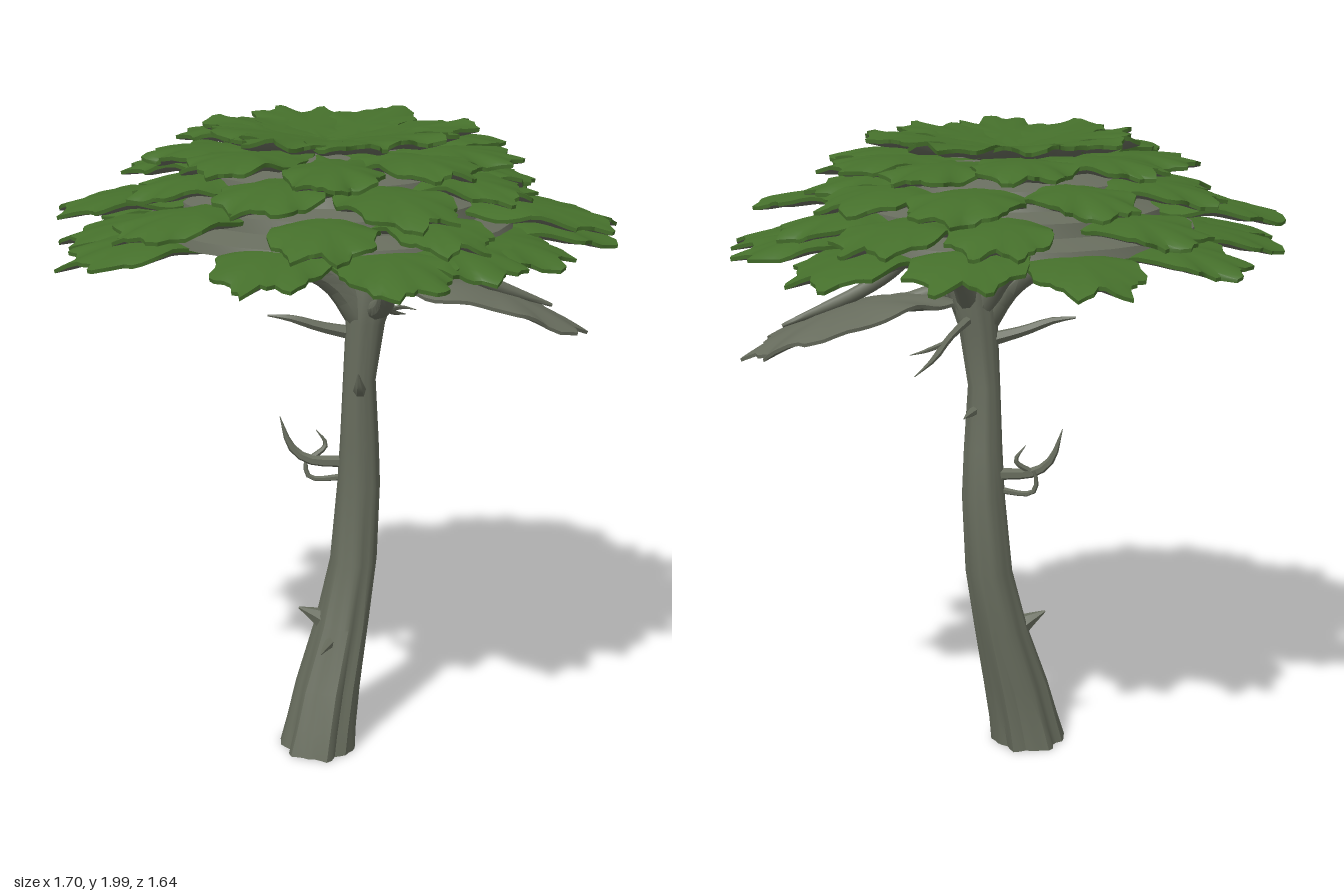
import * as THREE from 'three';
import { mergeGeometries, toCreasedNormals } from 'three/addons/utils/BufferGeometryUtils.js';

const bark = new THREE.MeshStandardMaterial({ color: 0x676c5d });
bark.name = 'bark';
const foliage = new THREE.MeshStandardMaterial({ color: 0x456f2b });
foliage.name = 'foliage green';

let seed = 7;
const rnd = () => (seed = (seed * 16807) % 2147483647) / 2147483647;
const V = (x, y, z) => new THREE.Vector3(x, y, z);

// Skin a list of closed rings (arrays of points with equal counts)
function loft(rings, capStart = false) {
  const n = rings[0].length, pos = [], idx = [];
  rings.forEach(r => r.forEach(p => pos.push(p.x, p.y, p.z)));
  for (let i = 0; i < rings.length - 1; i++)
    for (let j = 0; j < n; j++) {
      const a = i * n + j, b = i * n + (j + 1) % n;
      idx.push(a, b, a + n, b, b + n, a + n);
    }
  if (capStart) {
    const c = rings[0].reduce((s, p) => s.add(p), V(0, 0, 0)).divideScalar(n);
    pos.push(c.x, c.y, c.z);
    for (let j = 0; j < n; j++) idx.push(rings.length * n, (j + 1) % n, j);
  }
  const g = new THREE.BufferGeometry();
  g.setAttribute('position', new THREE.Float32BufferAttribute(pos, 3));
  g.setIndex(idx);
  return toCreasedNormals(g, 0.7);
}

// Tapered branch through points [x, y, z, radius]
function limb(pts, sides = 8, steps = 12) {
  const curve = new THREE.CatmullRomCurve3(pts.map(p => V(p[0], p[1], p[2])));
  const fr = curve.computeFrenetFrames(steps);
  const rings = [];
  for (let i = 0; i <= steps; i++) {
    const t = i / steps, f = t * (pts.length - 1), k = Math.min(Math.floor(f), pts.length - 2);
    const r = THREE.MathUtils.lerp(pts[k][3], pts[k + 1][3], f - k);
    const c = curve.getPointAt(t);
    const ring = [];
    for (let j = 0; j < sides; j++) {
      const a = j / sides * Math.PI * 2;
      ring.push(c.clone().addScaledVector(fr.normals[i], r * Math.cos(a))
        .addScaledVector(fr.binormals[i], r * Math.sin(a)));
    }
    rings.push(ring);
  }
  return loft(rings, true);
}

// Leaning trunk with horizontal, fluted rings: [y, x, z, radiusX, radiusZ]
function trunkGeometry() {
  const keys = [[0, -.06, .085, .115, .14], [.08, -.045, .08, .107, .128], [.2, -.02, .065, .1, .112],
    [.4, .03, .04, .083, .094], [.6, .07, .022, .073, .08], [.85, .087, .017, .067, .07],
    [1, .087, .024, .06, .062], [1.2, .083, .036, .05, .054], [1.38, .1, .04, .06, .057],
    [1.47, .115, .04, .076, .067], [1.56, .12, .035, .065, .06], [1.74, .13, .02, .035, .035]];
  const rings = keys.map(([y, x, z, rx, rz]) => {
    const ring = [], flute = .03 + .07 * Math.max(0, 1 - y / .7);
    for (let j = 0; j < 40; j++) {
      const a = j / 40 * Math.PI * 2;
      const f = 1 + flute * (Math.sin(7 * a + y * 2) * .7 + Math.sin(12 * a + 1 - y) * .5);
      ring.push(V(x + rx * f * Math.cos(a), y, z - rz * f * Math.sin(a)));
    }
    return ring;
  });
  return loft(rings, true);
}

// Jagged leaf pad pointing outward at an angle; height(l) gives its slope
function pad(deg, inner, outer, halfWidth, height, thick, crown) {
  const th = deg * Math.PI / 180, n = 56, ph = rnd() * 3, ph2 = rnd() * 3;
  const mid = (inner + outer) / 2, half = (outer - inner) / 2;
  const ring = (s, drop, dome) => {
    const pts = [];
    for (let j = 0; j < n; j++) {
      const a = j / n * Math.PI * 2, c = Math.cos(a);
      const tooth = .75 * Math.abs(Math.sin(4.5 * a + ph)) + .35 * Math.abs(Math.sin(11 * a + ph2));
      const f = 1.03 - .2 * (.3 + .7 * Math.max(0, c + .3)) * tooth * s * s;
      const l = mid + s * half * f * c;
      const w = s * halfWidth * f * Math.sin(a) * (.85 + .25 * c);
      const wave = s * s * s * (.008 * Math.sin(5 * a + ph) + .006 * Math.sin(9 * a + ph2));
      const y = height(l) + dome * (1 - s * s) + wave - drop;
      pts.push(V(l * Math.cos(th) - w * Math.sin(th), y, l * Math.sin(th) + w * Math.cos(th)));
    }
    return pts;
  };
  return {
    top: loft([...[.001, .3, .55, .75, .9, 1].map(s => ring(s, 0, crown)), ring(.99, .012, crown)]),
    under: loft([ring(.99, .012, crown), ring(.8, thick * .9, crown), ring(.45, thick, crown * .7),
      ring(.001, thick, crown * .6)]),
  };
}

export function createModel() {
  const model = new THREE.Group();
  const add = (name, geo, mat, parent = model) => {
    const m = new THREE.Mesh(geo, mat);
    m.name = name;
    parent.add(m);
  };

  add('trunk', trunkGeometry(), bark);

  // Limbs that carry the crown
  const limbs = [
    [[.1, 1.38, .04, .05], [.0, 1.52, .05, .045], [-.18, 1.61, .08, .034], [-.48, 1.71, .12, .012]],
    [[.1, 1.44, .03, .045], [.02, 1.57, -.03, .036], [-.12, 1.64, -.15, .026], [-.3, 1.72, -.3, .012]],
    [[.13, 1.44, .03, .045], [.2, 1.56, .02, .04], [.3, 1.62, -.02, .028], [.5, 1.71, -.08, .012]],
    [[.12, 1.42, .05, .035], [.13, 1.46, .17, .028], [.12, 1.54, .26, .024], [.12, 1.72, .3, .016]],
    [[.13, 1.46, .02, .035], [.16, 1.55, -.08, .03], [.2, 1.62, -.18, .022], [.25, 1.72, -.32, .012]],
    [[.27, 1.67, .06, .025], [.34, 1.58, .06, .024], [.46, 1.5, .04, .02], [.7, 1.4, .02, .006]],
    [[.12, 1.44, .04, .035], [.2, 1.49, .04, .03], [.32, 1.47, .03, .022], [.5, 1.43, .02, .008]],
  ];
  add('crownLimbs', mergeGeometries(limbs.map(p => limb(p, 9, 14))), bark);

  // Dead snags and broken stubs
  const snags = [
    [[.08, 1.34, .03, .024], [-.04, 1.37, .03, .018], [-.13, 1.4, .03, .014], [-.2, 1.41, .02, .003]],
    [[.05, .92, 0, .02], [-.07, .93, -.02, .017], [-.12, .97, -.03, .012], [-.155, 1.07, -.035, .001]],
    [[.05, .87, 0, .012], [-.06, .865, -.03, .009], [-.075, .9, -.035, .008], [-.065, .94, -.04, .005]],
    [[-.06, .93, -.02, .01], [-.01, .97, -.03, .008], [-.04, 1.02, -.035, .001]],
    [[.04, .35, .04, .06], [-.04, .41, .03, .035], [-.11, .45, .03, .003]],
    [[0, .36, .08, .025], [-.04, .355, .14, .014], [-.07, .35, .19, .002]],
    [[.08, 1.16, .06, .025], [.07, 1.19, .1, .016], [.06, 1.24, .13, .002]],
    [[.1, 1.13, .02, .02], [.13, 1.125, -.03, .012], [.155, 1.12, -.08, .001]],
    [[.12, 1.42, .02, .016], [.2, 1.38, -.12, .011], [.25, 1.34, -.22, .01], [.31, 1.31, -.31, .001]],
    [[.22, 1.37, -.15, .009], [.28, 1.36, -.2, .007], [.32, 1.35, -.2, .001]],
  ];
  add('deadBranches', mergeGeometries(snags.map(p => limb(p, 6, 8))), bark);

  // Bare drooping bough on the left
  const bare = pad(0, .17, .83, .235, l => 1.48 - .39 * Math.pow(Math.max(0, l - .2), 1.7), .03, .035);
  const bough = new THREE.Group();
  bough.name = 'bareBough';
  model.add(bough);
  add('boughTop', bare.top, bark, bough);
  add('boughUnderside', bare.under, bark, bough);

  // Stepped woody heart of the crown, seen between the leaf tiers
  const heart = [[0, 1.68], [.35, 1.675], [.56, 1.68], [.55, 1.71], [.47, 1.735], [.46, 1.775], [.39, 1.8],
    [.37, 1.855], [.3, 1.88], [.2, 1.91], [0, 1.91]].map(p => new THREE.Vector2(...p));
  add('crownHeart', toCreasedNormals(new THREE.LatheGeometry(heart, 28), 0.7), bark);

  // Tiers of leaf pads: rim height, inward rise, tip droop, inner share, half width, [angle, reach]
  const tiers = [
    { y: 1.675, rise: .03, droop: .045, inner: .25, w: .2, pads: [[12, .89], [40, .8], [62, .8], [85, .85],
      [117, .82], [164, .88], [187, .84], [221, .84], [256, .85], [286, .84], [318, .88], [351, .87]] },
    { y: 1.76, rise: .015, droop: .04, inner: .28, w: .185, pads: [[28, .9], [70, .78], [103, .77], [150, .8],
      [188, .85], [232, .77], [278, .78], [308, .82], [340, .76]] },
    { y: 1.84, rise: .01, droop: .035, inner: .2, w: .18, pads: [[5, .64], [42, .68], [80, .76], [122, .66],
      [170, .64], [212, .7], [250, .7], [290, .72], [328, .68]] },
    { y: 1.92, rise: -.02, droop: .025, inner: .15, w: .165, pads: [[22, .6], [62, .62], [100, .66], [145, .58],
      [188, .58], [230, .6], [270, .58], [306, .6], [345, .6]] },
    { y: 1.99, rise: -.06, droop: .01, inner: -.25, w: .17, pads: [[4, .47], [45, .44], [88, .46], [130, .43],
      [172, .39], [215, .43], [258, .43], [310, .46]] },
  ];
  tiers.forEach((t, i) => {
    const tier = new THREE.Group();
    tier.name = 'leafTier' + (i + 1);
    model.add(tier);
    const made = t.pads.map(([deg, reach]) => {
      const y = t.y + (i < 4 ? (rnd() - .5) * .02 : 0);
      const height = l => y + t.rise * (1 - l / reach) - t.droop * Math.max(0, (l / reach - .6) / .4) ** 2;
      return pad(deg, reach * t.inner, reach, t.w * (.92 + rnd() * .16), height, .03, i === 4 ? .006 : .02);
    });
    add('leafTops', mergeGeometries(made.map(p => p.top)), foliage, tier);
    add('leafUndersides', mergeGeometries(made.map(p => p.under)), bark, tier);
  });
  return model;
}
